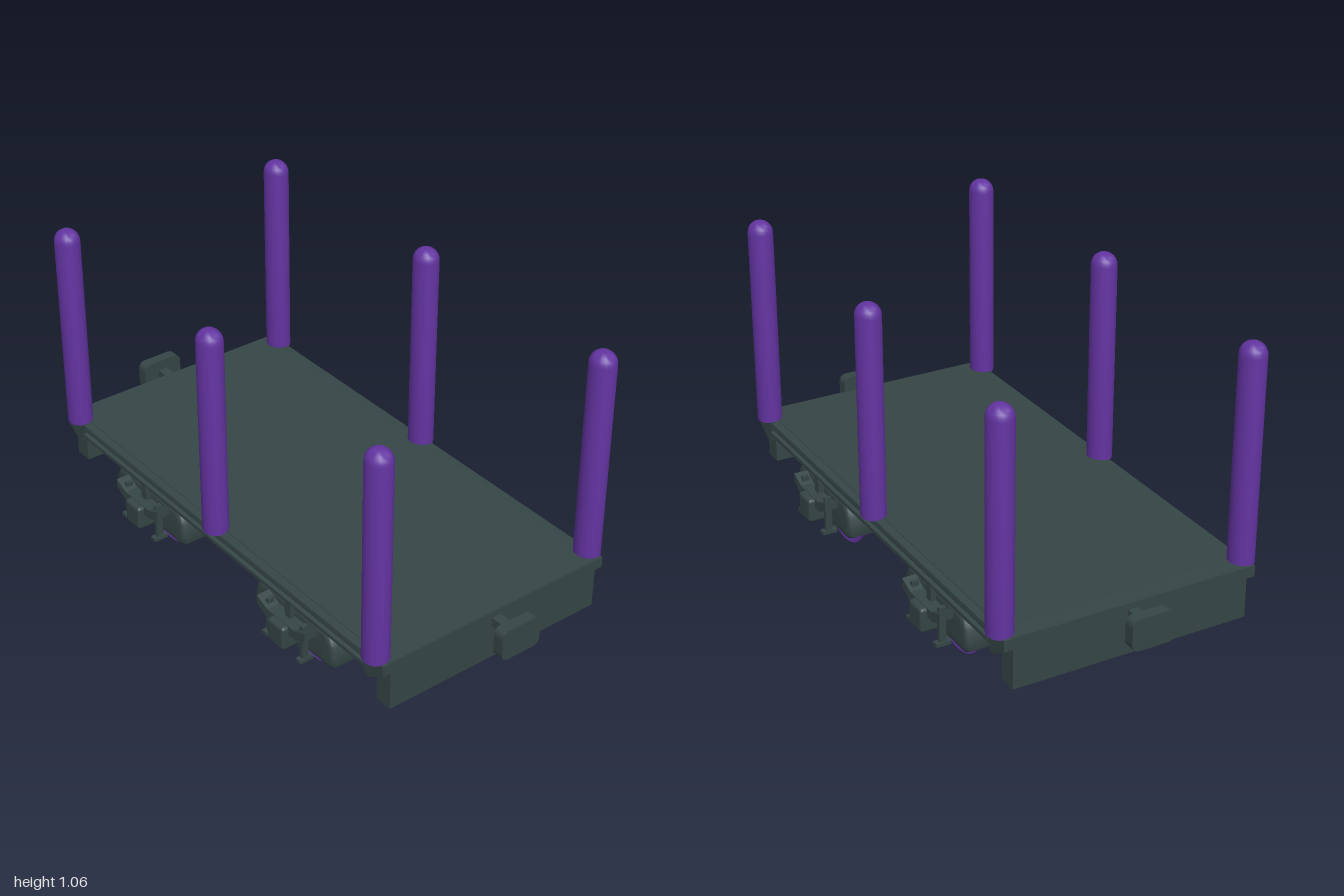
import * as THREE from 'three';
import { toCreasedNormals } from 'three/addons/utils/BufferGeometryUtils.js';
import { RoundedBoxGeometry } from 'three/addons/geometries/RoundedBoxGeometry.js';

export function createModel() {
  const steel = new THREE.MeshStandardMaterial({ color: 0x354545 });
  steel.name = 'darkSteel';
  const purple = new THREE.MeshStandardMaterial({ color: 0x6233a0 });
  purple.name = 'purple';
  const model = new THREE.Group();
  model.name = 'flatWagon';

  const add = (parent, name, geo, mat) => {
    const m = new THREE.Mesh(geo, mat);
    m.name = name;
    parent.add(m);
    return m;
  };
  // Box given by its limits on each axis
  const box = (parent, name, mat, x0, x1, y0, y1, z0, z1) => {
    const m = add(parent, name, new THREE.BoxGeometry(x1 - x0, y1 - y0, z1 - z0), mat);
    m.position.set((x0 + x1) / 2, (y0 + y1) / 2, (z0 + z1) / 2);
    return m;
  };
  // Profile of [a, y] points extruded along z, centred on z = 0
  const prism = (pts, depth, bevel = 0) => {
    const shape = new THREE.Shape(pts.map(p => new THREE.Vector2(p[0], p[1])));
    const g = new THREE.ExtrudeGeometry(shape, {
      depth: depth - 2 * bevel, bevelEnabled: bevel > 0, bevelSize: bevel,
      bevelThickness: bevel, bevelOffset: -bevel, bevelSegments: 3,
    });
    return g.translate(0, 0, -depth / 2 + bevel);
  };

  // Deck and its purple underside
  box(model, 'deck', steel, -0.42, 0.42, 0.25, 0.32, -0.885, 0.885);
  box(model, 'deckUnderside', purple, -0.4, 0.4, 0.244, 0.249, -0.82, 0.82);

  // Channel-shaped side sills with a small lower lip
  const sillProfile = [[0.41, 0.245], [0.435, 0.245], [0.435, 0.27], [0.452, 0.272],
    [0.452, 0.28], [0.44, 0.284], [0.44, 0.3], [0.45, 0.304], [0.448, 0.316], [0.42, 0.318], [0.41, 0.318]];
  for (const turn of [0, Math.PI]) {
    add(model, 'sideSill', prism(sillProfile, 1.57), steel).rotation.y = turn;
  }

  // End beams, corner brackets and couplers
  for (const turn of [0, Math.PI]) {
    const end = new THREE.Group();
    end.name = 'wagonEnd';
    end.rotation.y = turn;
    model.add(end);
    box(end, 'endBeam', steel, -0.42, 0.42, 0.142, 0.32, 0.82, 0.885);
    for (const s of [-1, 1]) {
      const bracket = add(end, 'cornerBracket', prism(
        [[0.78, 0.318], [0.885, 0.318], [0.885, 0.28], [0.82, 0.24], [0.8, 0.24]], 0.05), steel);
      bracket.rotation.y = -Math.PI / 2;
      bracket.position.x = s * 0.425;
    }
    box(end, 'couplerStem', steel, -0.018, 0.018, 0.265, 0.297, 0.88, 0.965);
    const plate = add(end, 'couplerPlate', prism(roundedRect(0.077, 0.055, 0.025), 0.04), steel);
    plate.position.set(0, 0.28, 0.98);
  }

  // Round-topped stakes
  const stakeProfile = [new THREE.Vector2(0, 0), new THREE.Vector2(0.0435, 0), new THREE.Vector2(0.0435, 0.707)];
  for (let i = 1; i <= 6; i++) {
    const a = i / 6 * Math.PI / 2;
    stakeProfile.push(new THREE.Vector2(Math.max(0, 0.0435 * Math.cos(a)), 0.707 + 0.043 * Math.sin(a)));
  }
  const stakeGeo = toCreasedNormals(new THREE.LatheGeometry(stakeProfile, 20), 0.8);
  for (const x of [-0.434, 0.434]) for (const z of [-0.83, 0, 0.83]) {
    const stake = add(model, 'stake', stakeGeo, purple);
    stake.position.set(x, 0.315, z);
    stake.scale.z = 1.07;
  }

  // Underfloor boxes with a purple cross in the gaps between them
  for (const sx of [-1, 1]) for (const sz of [-1, 1]) {
    const b = box(model, 'underfloorBox', steel, -0.169, 0.169, 0.15, 0.245, -0.2, 0.2);
    b.position.x = sx * 0.179;
    b.position.z = sz * 0.21;
  }
  box(model, 'crossRibLong', purple, -0.009, 0.009, 0.153, 0.245, -0.41, 0.41);
  box(model, 'crossRibWide', purple, -0.345, 0.345, 0.153, 0.245, -0.009, 0.009);

  // Lower half of a flanged, dished wheel, turned about the x axis
  const wheelProfile = [[0, 0.23], [0.155, 0.23], [0.155, 0.3], [0.17, 0.35], [0.15, 0.345], [0.14, 0.325], [0, 0.325]]
    .map(p => new THREE.Vector2(p[0], p[1]));
  const wheelGeo = toCreasedNormals(
    new THREE.LatheGeometry(wheelProfile, 20, 0, Math.PI).rotateZ(-Math.PI / 2), 0.5);

  // Rounded wheel housing
  const housingGeo = toCreasedNormals(prism([[-0.185, 0.11], [0.185, 0.11], [0.205, 0.122], [0.212, 0.15],
    [0.205, 0.2], [0.19, 0.228], [0.165, 0.243], [-0.165, 0.243], [-0.19, 0.228],
    [-0.205, 0.2], [-0.212, 0.15], [-0.205, 0.122]], 0.25, 0.02).rotateY(Math.PI / 2), 0.7);

  // Curved spring carrier beside the journal box
  const springGeo = prism([[-0.125, 0.235], [-0.125, 0.205], [-0.08, 0.18], [0.08, 0.18],
    [0.125, 0.205], [0.125, 0.235], [0.07, 0.212], [-0.07, 0.212]], 0.05).rotateY(Math.PI / 2);

  for (const z of [-0.41, 0.41]) {
    const bogie = new THREE.Group();
    bogie.name = 'wheelSet';
    bogie.position.z = z;
    model.add(bogie);
    box(bogie, 'bolster', steel, -0.135, 0.135, 0.075, 0.2, -0.09, 0.09);
    const axle = add(bogie, 'axle', new THREE.CylinderGeometry(0.05, 0.05, 0.48, 16), steel);
    axle.rotation.z = Math.PI / 2;
    axle.position.y = 0.165;
    for (const turn of [0, Math.PI]) {
      const side = new THREE.Group();
      side.name = 'wheelSide';
      side.rotation.y = turn;
      bogie.add(side);
      add(side, 'wheel', wheelGeo, purple).position.y = 0.175;
      add(side, 'wheelHousing', housingGeo, steel).position.x = 0.305;
      add(side, 'springCarrier', springGeo, steel).position.x = 0.453;
      const journal = add(side, 'journalBox', new RoundedBoxGeometry(0.09, 0.088, 0.085, 2, 0.012), steel);
      journal.position.set(0.456, 0.166, 0);
      box(side, 'springTab', steel, 0.425, 0.45, 0.2, 0.27, -0.014, 0.014);
      box(side, 'brakeLeg', steel, 0.36, 0.4, 0.06, 0.145, -0.015, 0.015);
      // Hangers with feet
      for (const s of [-1, 1]) {
        box(side, 'hanger', steel, 0.44, 0.464, 0.105, 0.235, s * 0.09 - 0.007, s * 0.09 + 0.007);
        box(side, 'hangerFoot', steel, 0.425, 0.478, 0.098, 0.111, s * 0.09 - 0.012, s * 0.09 + 0.012);
      }
    }
  }
  return model;
}

// Outline of a rectangle with rounded corners, half sizes w and h
function roundedRect(w, h, r) {
  const pts = [];
  for (let c = 0; c < 4; c++) {
    const cx = (c === 0 || c === 3 ? 1 : -1) * (w - r);
    const cy = (c < 2 ? 1 : -1) * (h - r);
    for (let i = 0; i <= 4; i++) {
      const a = (c + i / 4) * Math.PI / 2;
      pts.push([cx + r * Math.cos(a), cy + r * Math.sin(a)]);
    }
  }
  return pts;
}
